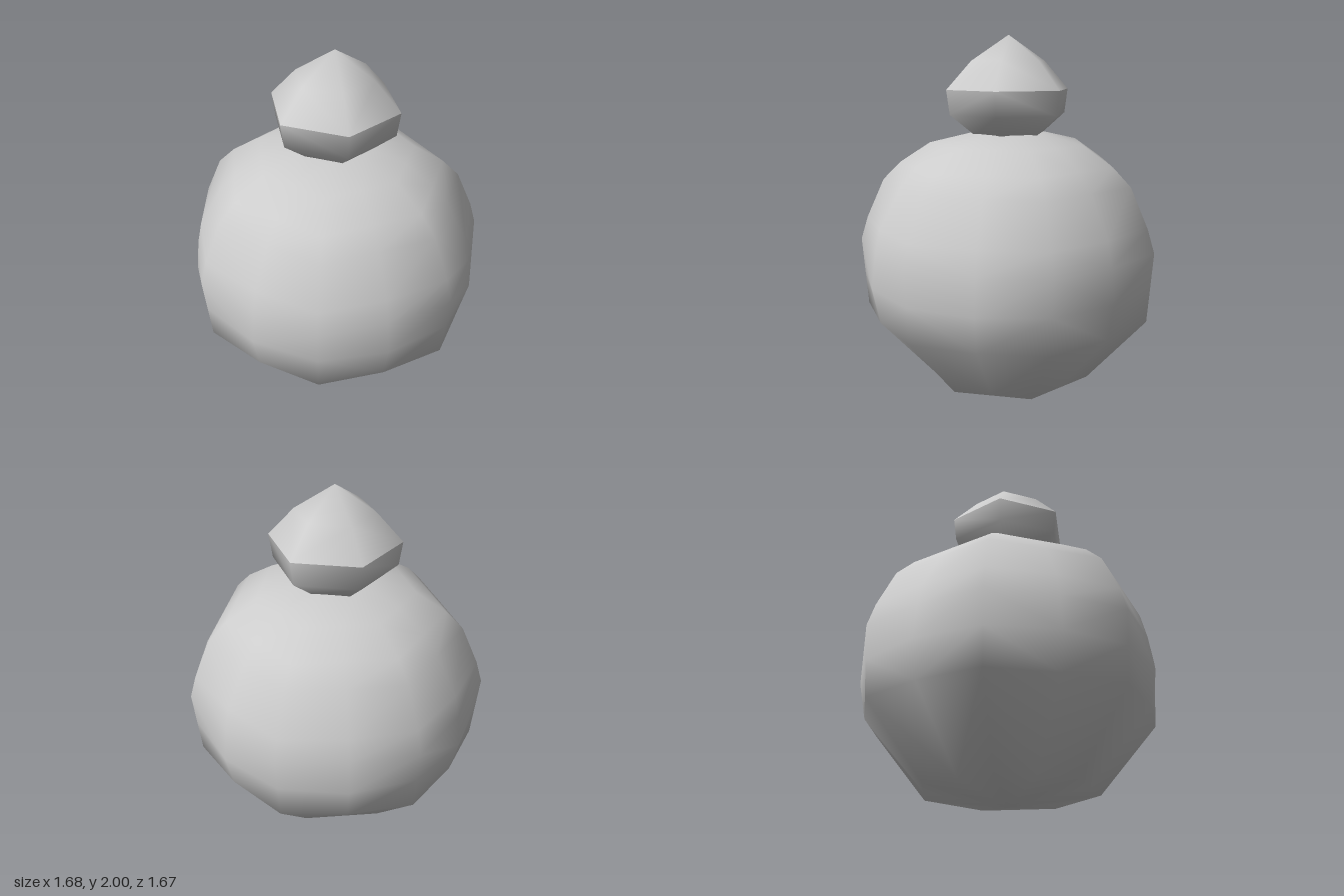
import * as THREE from 'three';

// Closed-around-the-axis smooth surface. Each ring is [y, radii...]: the radii
// repeat around the ring; a single 0 radius makes a pole vertex.
function ringSurface(rings, sides, startAngle) {
  const pos = [], index = [], starts = [];
  for (const [y, ...radii] of rings) {
    starts.push(pos.length / 3);
    const n = radii[0] === 0 ? 1 : sides;
    for (let i = 0; i < n; i++) {
      const a = startAngle + (i / sides) * Math.PI * 2;
      const r = radii[i % radii.length];
      pos.push(r * Math.cos(a), y, r * Math.sin(a));
    }
  }
  for (let k = 0; k < rings.length - 1; k++) {
    const lowPole = rings[k][1] === 0, highPole = rings[k + 1][1] === 0;
    for (let i = 0; i < sides; i++) {
      const j = (i + 1) % sides;
      const a = starts[k] + (lowPole ? 0 : i), b = starts[k] + (lowPole ? 0 : j);
      const c = starts[k + 1] + (highPole ? 0 : i), d = starts[k + 1] + (highPole ? 0 : j);
      if (lowPole) index.push(a, c, d);
      else if (highPole) index.push(a, c, b);
      else if (i % 2 === 0) index.push(a, c, b, b, c, d); // diagonals mirror to form points
      else index.push(a, c, d, a, d, b);
    }
  }
  const g = new THREE.BufferGeometry();
  g.setAttribute('position', new THREE.Float32BufferAttribute(pos, 3));
  g.setIndex(index);
  g.computeVertexNormals();
  return g;
}

export function createModel() {
  const group = new THREE.Group();
  const grey = new THREE.MeshStandardMaterial({ color: 0xcccccc });
  grey.name = 'plain grey';
  const add = (name, geometry) => {
    const mesh = new THREE.Mesh(geometry, grey);
    mesh.name = name;
    mesh.position.x = 0.015;
    group.add(mesh);
  };

  // Rounded seven-sided body: ridge radius, then valley radius
  add('body', ringSurface([
    [0, 0],
    [0.07, 0.495, 0.446],
    [0.46, 0.828, 0.785],
    [0.66, 0.842, 0.825],
    [0.85, 0.855, 0.8],
    [0.98, 0.815, 0.77],
    [1.2, 0.715, 0.645],
    [1.3, 0.615, 0.555],
    [1.41, 0.445, 0.4],
    [1.465, 0.21, 0.19],
    [1.465, 0],
  ], 14, Math.PI));

  // Six-sided knob, with a hard edge where its two halves meet
  add('knobBase', ringSurface([
    [1.455, 0], [1.455, 0.2], [1.57, 0.34], [1.705, 0.358],
  ], 6, 0));
  add('knobTip', ringSurface([
    [1.705, 0.358], [1.86, 0.215], [2, 0],
  ], 6, 0));

  return group;
}
